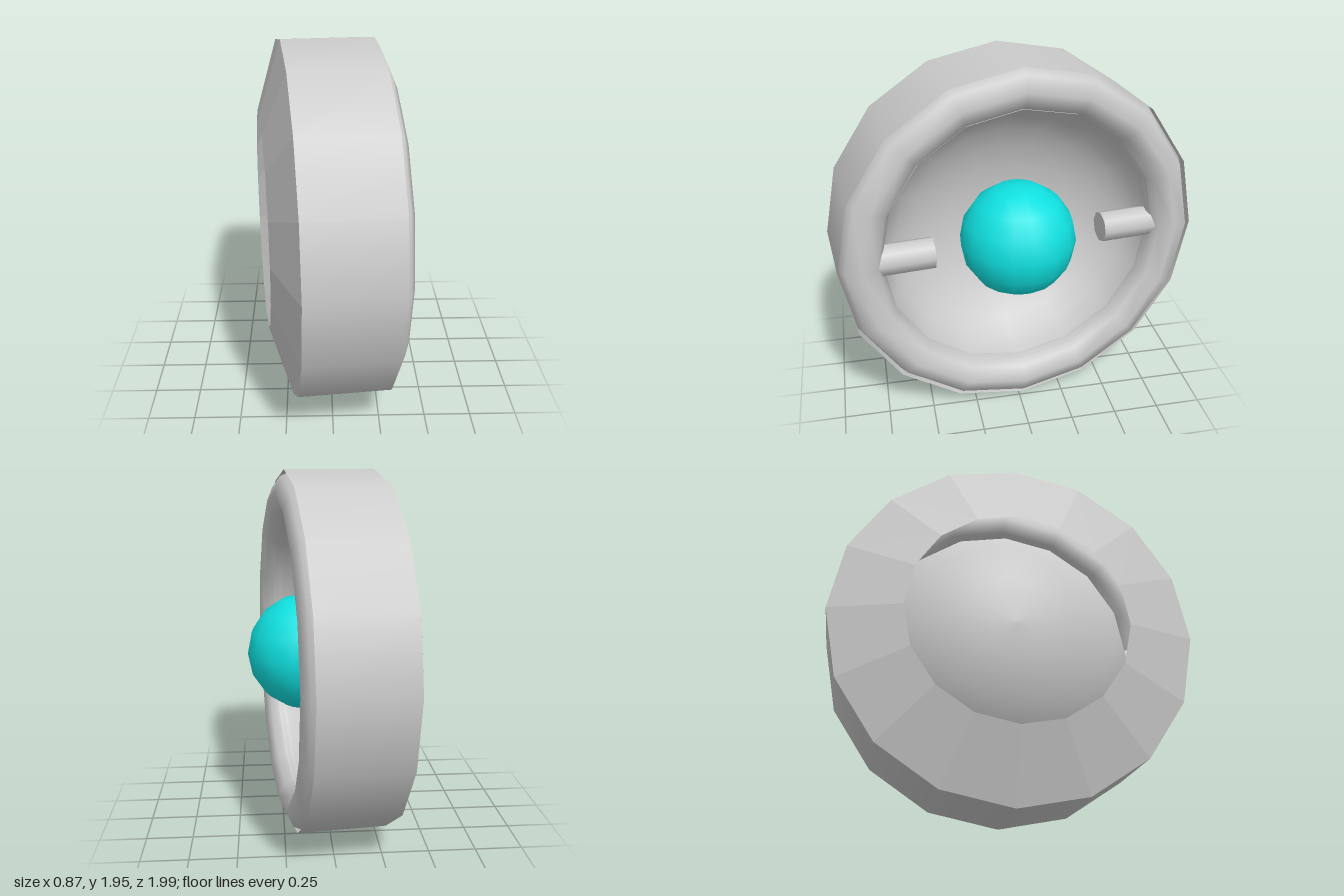
import * as THREE from 'three';

const SIDES = 16;
const RADIUS = 0.976;

export function createModel() {
  const model = new THREE.Group();
  model.name = 'roundLamp';

  const grey = new THREE.MeshStandardMaterial({ color: 0xcccccc, side: THREE.DoubleSide });
  const facetedGrey = new THREE.MeshStandardMaterial({ color: 0xcccccc, side: THREE.DoubleSide, flatShading: true });
  const cyan = new THREE.MeshStandardMaterial({ color: 0x10e0e0 });

  // Everything is built around a local x axis, then turned slightly about y
  const body = new THREE.Group();
  body.name = 'body';
  body.position.y = 0.98;
  body.rotation.y = 0.108;
  model.add(body);

  const add = (name, geometry, material) => {
    const mesh = new THREE.Mesh(geometry, material);
    mesh.name = name;
    body.add(mesh);
    return mesh;
  };

  // Surface of revolution about x from [radius, x] pairs
  const turned = (name, points, material) => {
    const profile = points.map(([r, a]) => new THREE.Vector2(r, a));
    const geometry = new THREE.LatheGeometry(profile, SIDES).rotateZ(-Math.PI / 2);
    return add(name, geometry, material);
  };

  // Hollow housing: outer wall and sloped back ring with an open hole
  turned('outerWall', [[RADIUS, -0.256], [RADIUS, 0.226]], grey);
  turned('backRing', [[0.594, -0.372], [RADIUS, -0.256]], facetedGrey);

  // Rounded front rim
  const rim = add('frontRim', new THREE.TorusGeometry(0.86, 0.116, 8, SIDES), grey);
  rim.rotation.y = Math.PI / 2;
  rim.position.x = 0.163;

  // Concave dish behind the rim
  const dish = [];
  for (let i = 0; i <= 8; i++) {
    const t = (i / 8) * Math.PI / 2;
    dish.push([0.755 * Math.sin(t), 0.2 - 0.48 * Math.cos(t)]);
  }
  turned('dish', dish, grey);

  // Coloured ball in the middle
  add('ball', new THREE.SphereGeometry(0.315, 16, 8), cyan).position.x = 0.12;

  // Two pegs reaching inward from the rim
  for (const side of [1, -1]) {
    const peg = add(side > 0 ? 'frontPeg' : 'backPeg', new THREE.CylinderGeometry(0.085, 0.085, 0.32, 8), grey);
    peg.rotation.x = Math.PI / 2;
    peg.position.set(0.14, 0, side * 0.63);
  }

  return model;
}
